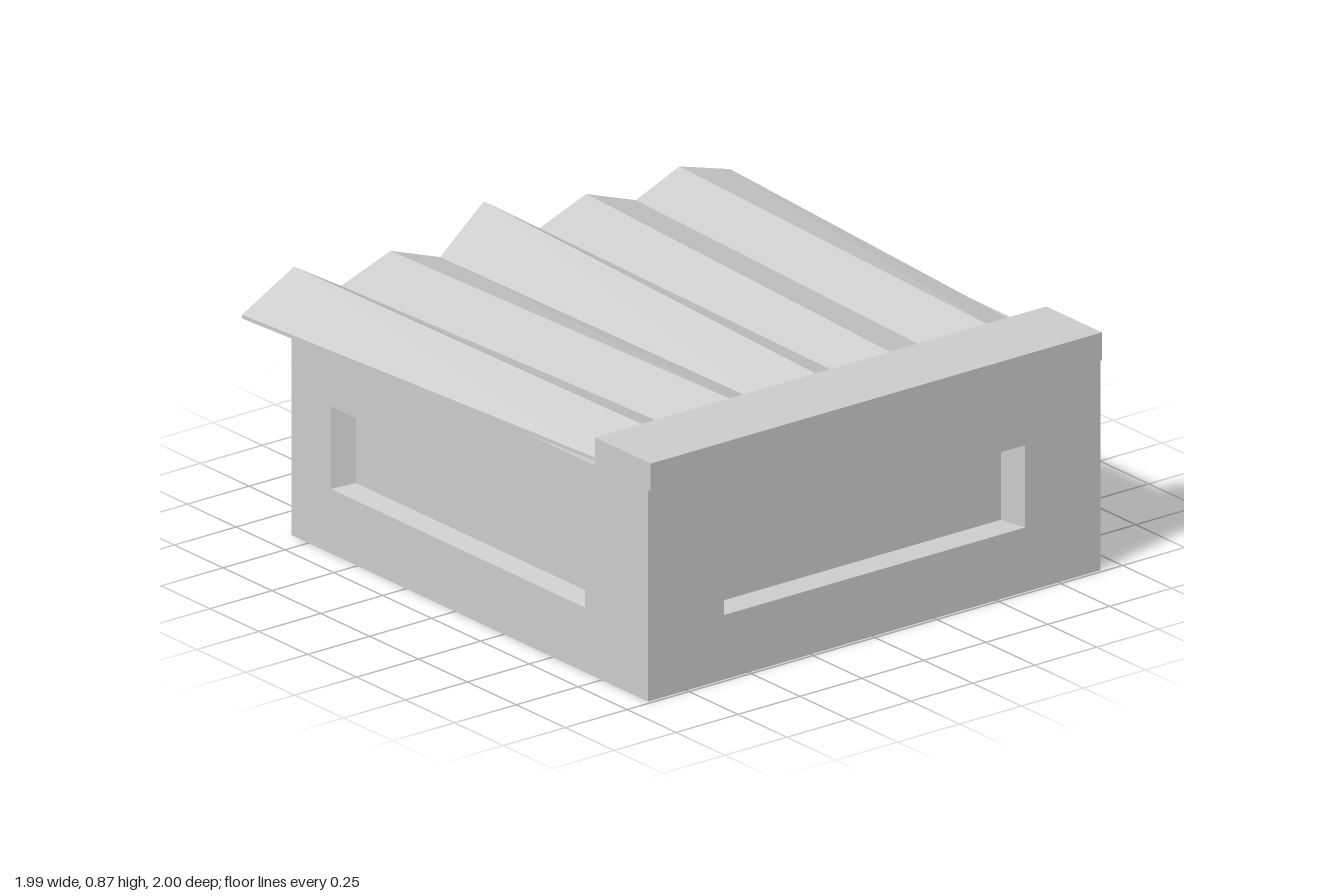
import * as THREE from 'three';

const material = new THREE.MeshStandardMaterial({ color: 0xcccccc, flatShading: true, side: THREE.DoubleSide });

// Mesh from a list of quads, each with four counter-clockwise corners
function quadMesh(name, quads) {
  const pos = [];
  for (const [a, b, c, d] of quads) pos.push(...a, ...b, ...c, ...a, ...c, ...d);
  const geo = new THREE.BufferGeometry();
  geo.setAttribute('position', new THREE.Float32BufferAttribute(pos, 3));
  geo.computeVertexNormals();
  const mesh = new THREE.Mesh(geo, material);
  mesh.name = name;
  return mesh;
}

function box(name, x0, x1, y0, y1, z0, z1) {
  const mesh = new THREE.Mesh(new THREE.BoxGeometry(x1 - x0, y1 - y0, z1 - z0), material);
  mesh.position.set((x0 + x1) / 2, (y0 + y1) / 2, (z0 + z1) / 2);
  mesh.name = name;
  return mesh;
}

const H = 0.72, CX = 0.0075, CZ = 0.075, HALF = 0.9125, DEPTH = 0.07;

// Wall facing +z with a recessed panel whose sides and sill slope inwards
function wall(name, angle, recessHalf, shift) {
  const rect = (u0, u1, y0, y1, z) => [[u0, y0, z], [u1, y0, z], [u1, y1, z], [u0, y1, z]];
  const inner = recessHalf - 0.04;
  const loops = [
    rect(-HALF, HALF, 0, H, HALF),
    rect(shift - recessHalf, shift + recessHalf, 0.22, 0.5, HALF),
    rect(shift - inner, shift + inner, 0.235, 0.5, HALF - DEPTH),
  ];
  const quads = [loops[2]];
  for (let l = 0; l < 2; l++) {
    for (let i = 0; i < 4; i++) {
      const j = (i + 1) % 4;
      quads.push([loops[l][i], loops[l][j], loops[l + 1][j], loops[l + 1][i]]);
    }
  }
  const mesh = quadMesh(name, quads);
  mesh.rotation.y = angle;
  mesh.position.set(CX, 0, CZ);
  return mesh;
}

// Corrugated sheet that fans out and rises towards the back
function corrugatedRoof() {
  const frontX = [-0.88, -0.7, -0.525, -0.345, -0.175, 0, 0.17, 0.3, 0.52, 0.69, 0.875];
  const backX = [-1, -0.79, -0.6, -0.4, -0.2, 0, 0.2, 0.39, 0.59, 0.765, 0.99];
  const backPeaks = [0.845, 0.803, 0.865, 0.803, 0.805];
  const valley = 0.733, thick = 0.013;
  const backZ = i => (i === 5 ? -1 : i === 10 ? -0.995 : -0.97);
  const front = frontX.map((x, i) => [x, i % 2 ? 0.805 : valley, 0.715]);
  const back = backX.map((x, i) => [x, i % 2 ? backPeaks[(i - 1) / 2] : valley, backZ(i)]);
  const drop = p => [p[0], p[1] - thick, p[2]];
  const quads = [];
  for (let i = 0; i < 10; i++) {
    const [a, b, c, d] = [front[i], front[i + 1], back[i + 1], back[i]];
    const [e, f, g, h] = [a, b, c, d].map(drop);
    quads.push([a, b, c, d], [h, g, f, e], [e, f, b, a], [g, h, d, c]);
    if (i === 0) quads.push([h, e, a, d]);
    if (i === 9) quads.push([f, g, c, b]);
  }
  return quadMesh('corrugatedRoof', quads);
}

export function createModel() {
  const group = new THREE.Group();

  // Four recessed walls
  group.add(wall('frontWall', 0, 0.6075, 0));
  group.add(wall('leftWall', Math.PI / 2, 0.65, 0.06));
  group.add(wall('backWall', Math.PI, 0.6075, 0));
  group.add(wall('rightWall', -Math.PI / 2, 0.65, -0.06));

  // Floor and ceiling closing the body
  const slab = (y, up) => {
    const c = [[-1, 1], [1, 1], [1, -1], [-1, -1]].map(([x, z]) => [CX + x * HALF, y, CZ + z * HALF]);
    return quadMesh(up ? 'ceiling' : 'floor', [up ? c : c.reverse()]);
  };
  group.add(slab(0, false), slab(H, true));

  // Beam along the front edge and the roof behind it
  group.add(box('frontBeam', -0.905, 0.917, H, 0.815, 0.715, 1));
  group.add(corrugatedRoof());
  return group;
}
